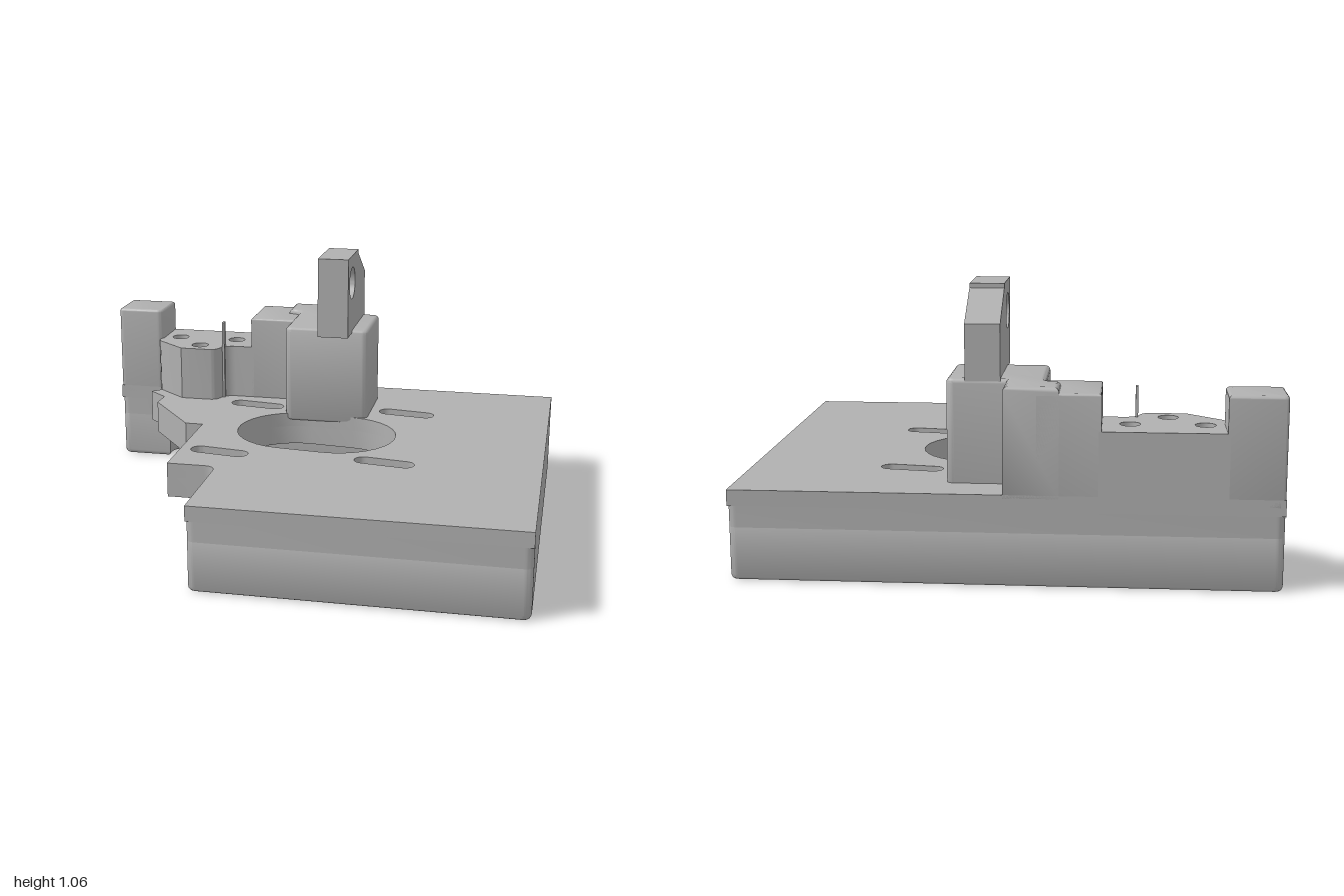
import * as THREE from 'three';
import { toCreasedNormals } from 'three/addons/utils/BufferGeometryUtils.js';

// closed outline from [x, z, cornerRadius] points
function outline(pts) {
  const s = new THREE.Shape();
  pts.forEach(([x, y, r = 0], i) => {
    const p = new THREE.Vector2(x, y);
    const toward = ([qx, qy]) => new THREE.Vector2(qx, qy).sub(p).setLength(r).add(p);
    const a = toward(pts[(i + pts.length - 1) % pts.length]);
    if (i === 0) s.moveTo(a.x, a.y); else s.lineTo(a.x, a.y);
    if (r) {
      const b = toward(pts[(i + 1) % pts.length]);
      s.quadraticCurveTo(x, y, b.x, b.y);
    }
  });
  s.closePath();
  return s;
}

// round-ended slot: centre, half vector between end centres, radius
function slot(cx, cz, dx, dz, r) {
  const a = Math.atan2(dz, dx), p = new THREE.Path();
  p.absarc(cx + dx, cz + dz, r, a - Math.PI / 2, a + Math.PI / 2);
  p.absarc(cx - dx, cz - dz, r, a + Math.PI / 2, a + Math.PI * 1.5);
  p.closePath();
  return p;
}

function circle(x, y, r) {
  const p = new THREE.Path();
  p.absarc(x, y, r, 0, Math.PI * 2);
  return p;
}

export function createModel() {
  const group = new THREE.Group();
  const grey = new THREE.MeshStandardMaterial({ color: 0xb0b0b0 });
  grey.name = 'plain grey';

  function add(name, geo) {
    const mesh = new THREE.Mesh(toCreasedNormals(geo, 0.6), grey);
    mesh.name = name;
    group.add(mesh);
  }

  // upright prism over an x/z outline, optionally with rounded rims
  // (corner radii must stay above 1.5 x bevel so the inset rim stays clean)
  function prism(name, pts, y0, y1, { holes = [], bevel = 0 } = {}) {
    const shape = outline(pts);
    shape.holes = holes;
    const geo = new THREE.ExtrudeGeometry(shape, {
      depth: y1 - y0 - 2 * bevel, curveSegments: 8, bevelEnabled: bevel > 0,
      bevelSize: bevel, bevelThickness: bevel, bevelOffset: -bevel, bevelSegments: 4,
    });
    geo.rotateX(Math.PI / 2);
    geo.translate(0, y1 - bevel, 0);
    add(name, geo);
  }

  const screws = [[-0.72, -0.695], [-0.45, -0.695], [-0.59, -0.565]];
  const screwHoles = () => screws.map(([x, z]) => circle(x, z, 0.038));

  // plate in two layers: square corners on top, rounded corners below
  const plateHoles = () => {
    const holes = [slot(0.042, -0.11, 0.093, 0.01, 0.245), ...screwHoles()];
    for (const x of [-0.295, 0.38])
      for (const z of [-0.455, 0.217]) holes.push(slot(x, z, 0.084, 0.012, 0.038));
    return holes;
  };
  const plate = (r) => [
    [-1, -0.84, r], [1, -0.84, r], [1, 0.84, r], [-0.26, 0.84, r],
    [-0.26, 0.4, 0.05], [-0.46, 0.4], [-0.46, -0.12], [-0.535, -0.12], [-0.75, -0.4],
    [-0.745, -0.49], [-0.83, -0.565], [-0.79, -0.6], [-0.79, -0.64], [-1, -0.64, r],
  ];
  const corner = 0.035;
  prism('plateTop', plate(0), 0.28, 0.34, { holes: plateHoles() });
  prism('plateUnderside', plate(corner), 0.2, 0.28, { holes: plateHoles() });

  // C-shaped skirt below the plate, its back bar notched under two screws
  const notch = (x) => {
    const r = 0.055, pts = [[x + r, -0.64]];
    for (let i = 0; i <= 10; i++) {
      const a = (Math.PI * i) / 10;
      pts.push([x + r * Math.cos(a), -0.695 - r * Math.sin(a)]);
    }
    return [...pts, [x - r, -0.64]];
  };
  prism('skirt', [
    [-1, -0.84, corner], [1, -0.84, corner], [1, 0.84, corner], [-0.26, 0.84, corner],
    [-0.26, 0.4, corner], [0.64, 0.4, 0.05], [0.64, -0.64, 0.05],
    ...notch(-0.45), ...notch(-0.715), [-1, -0.64, corner],
  ], 0, 0.22, { bevel: 0.02 });

  // end post
  prism('endPost', [[-1, -0.84, 0.02], [-0.79, -0.84], [-0.79, -0.64, 0.03], [-1, -0.64, 0.02]],
    0.3, 0.71, { bevel: 0.012 });

  // low screw seat with its thin remaining fin
  prism('screwSeat', [
    [-0.8, -0.84], [-0.34, -0.84], [-0.34, -0.57], [-0.47, -0.57, 0.045],
    [-0.5, -0.49, 0.03], [-0.66, -0.49], [-0.79, -0.6], [-0.8, -0.62],
  ], 0.34, 0.575, { holes: screwHoles() });
  const fin = new THREE.BoxGeometry(0.01, 0.35, 0.03);
  fin.translate(-0.475, 0.515, -0.555);
  add('fin', fin);

  // shoulder and L-shaped tower
  prism('shoulder', [[-0.35, -0.84], [-0.12, -0.84], [-0.12, -0.57], [-0.35, -0.57]],
    0.3, 0.71, { bevel: 0.01 });
  prism('tower', [
    [-0.2, -0.84], [0, -0.84], [0, -0.68], [0.22, -0.68, 0.03], [0.22, -0.345, 0.03],
    [-0.145, -0.345, 0.03], [-0.145, -0.69, 0.04], [-0.2, -0.7],
  ], 0.31, 0.73, { bevel: 0.018 });

  // upright lug with a cross hole, drawn in (-z, y)
  const lug = outline([
    [0.245, 0.72], [0.68, 0.72], [0.68, 0.93], [0.5, 1.04], [0.5, 1.057], [0.245, 1.057],
  ]);
  lug.holes = [circle(0.35, 0.938, 0.068)];
  const lugGeo = new THREE.ExtrudeGeometry(lug, { depth: 0.13, curveSegments: 24, bevelEnabled: false });
  lugGeo.rotateY(Math.PI / 2);
  lugGeo.translate(0.02, 0, 0);
  add('lug', lugGeo);

  return group;
}
